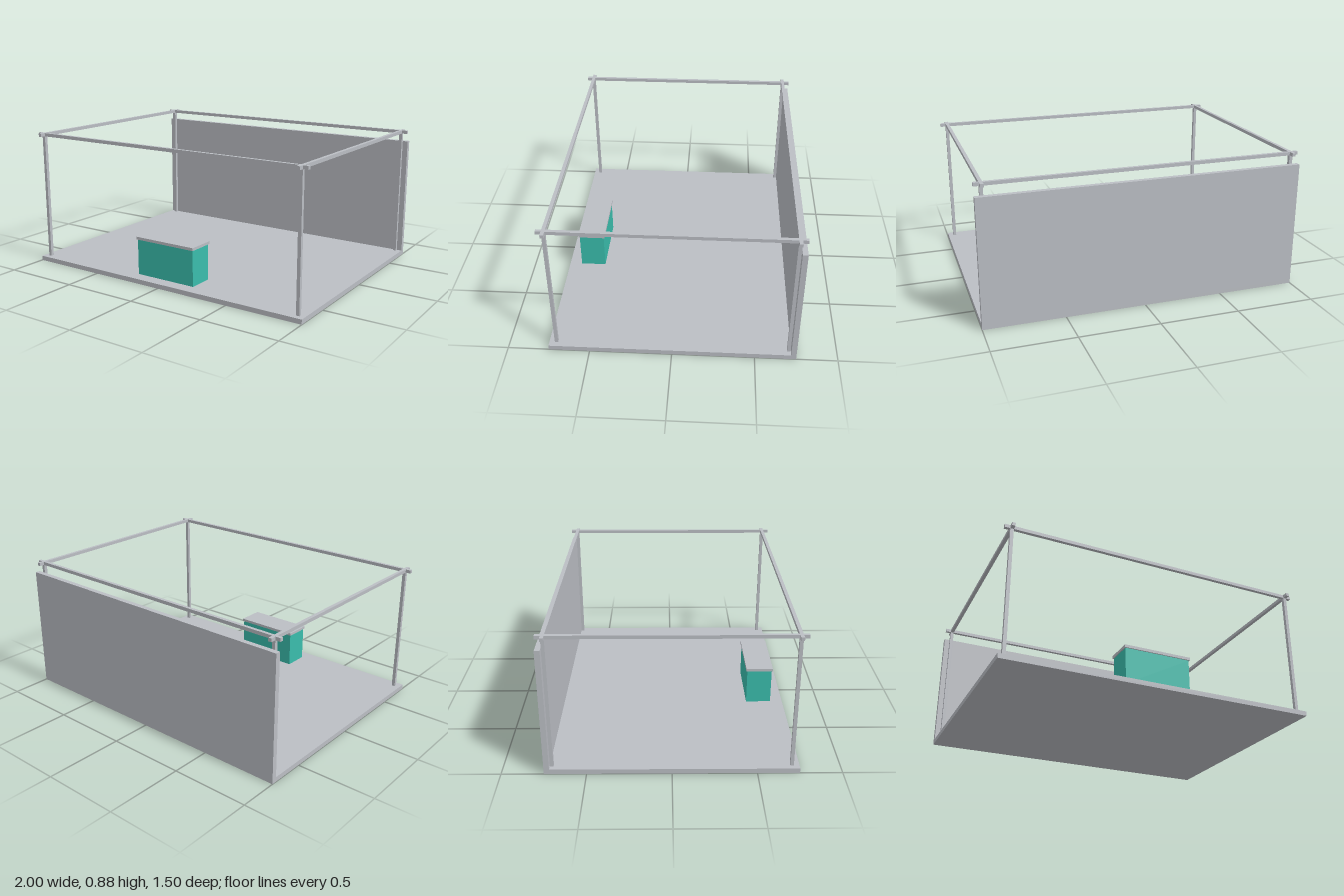
import * as THREE from 'three';

export function createModel() {
  const model = new THREE.Group();
  const grey = new THREE.MeshStandardMaterial({ name: 'light grey', color: 0xbbbec4 });
  const teal = new THREE.MeshStandardMaterial({ name: 'teal', color: 0x3abdac });

  // Box given by its size, base height and centre
  function box(name, material, [w, h, d], x, base, z, parent = model) {
    const mesh = new THREE.Mesh(new THREE.BoxGeometry(w, h, d), material);
    mesh.name = name;
    mesh.position.set(x, base + h / 2, z);
    parent.add(mesh);
  }

  const floor = 0.03, top = 0.875, bar = 0.021;
  const px = 0.956, pz = 0.706;

  // Platform and back wall
  box('platform', grey, [2, floor, 1.5], 0, 0, 0);
  box('backWall', grey, [2, 0.8 - floor, 0.032], 0, floor, -0.734);

  // Open frame: corner posts and crossing top rails
  const frame = new THREE.Group();
  frame.name = 'frame';
  model.add(frame);
  for (const sx of [-1, 1]) {
    const side = sx > 0 ? 'left' : 'right';
    for (const sz of [-1, 1]) {
      const end = sz > 0 ? 'Front' : 'Back';
      box(side + end + 'Post', grey, [bar, top - bar - floor, bar], sx * px, floor, sz * pz, frame);
    }
    box(side + 'Rail', grey, [bar, bar, 1.5], sx * px, top - bar, 0, frame);
  }
  for (const sz of [-1, 1]) {
    box(sz > 0 ? 'frontRail' : 'backRail', grey, [2, bar, bar], 0, top - bar, sz * pz, frame);
  }

  // Reception counter with overhanging top
  const counter = new THREE.Group();
  counter.name = 'counter';
  model.add(counter);
  box('counterBody', teal, [0.424, 0.23, 0.162], 0, floor, 0.589, counter);
  box('counterTop', grey, [0.436, 0.018, 0.176], 0, 0.26, 0.589, counter);

  return model;
}
